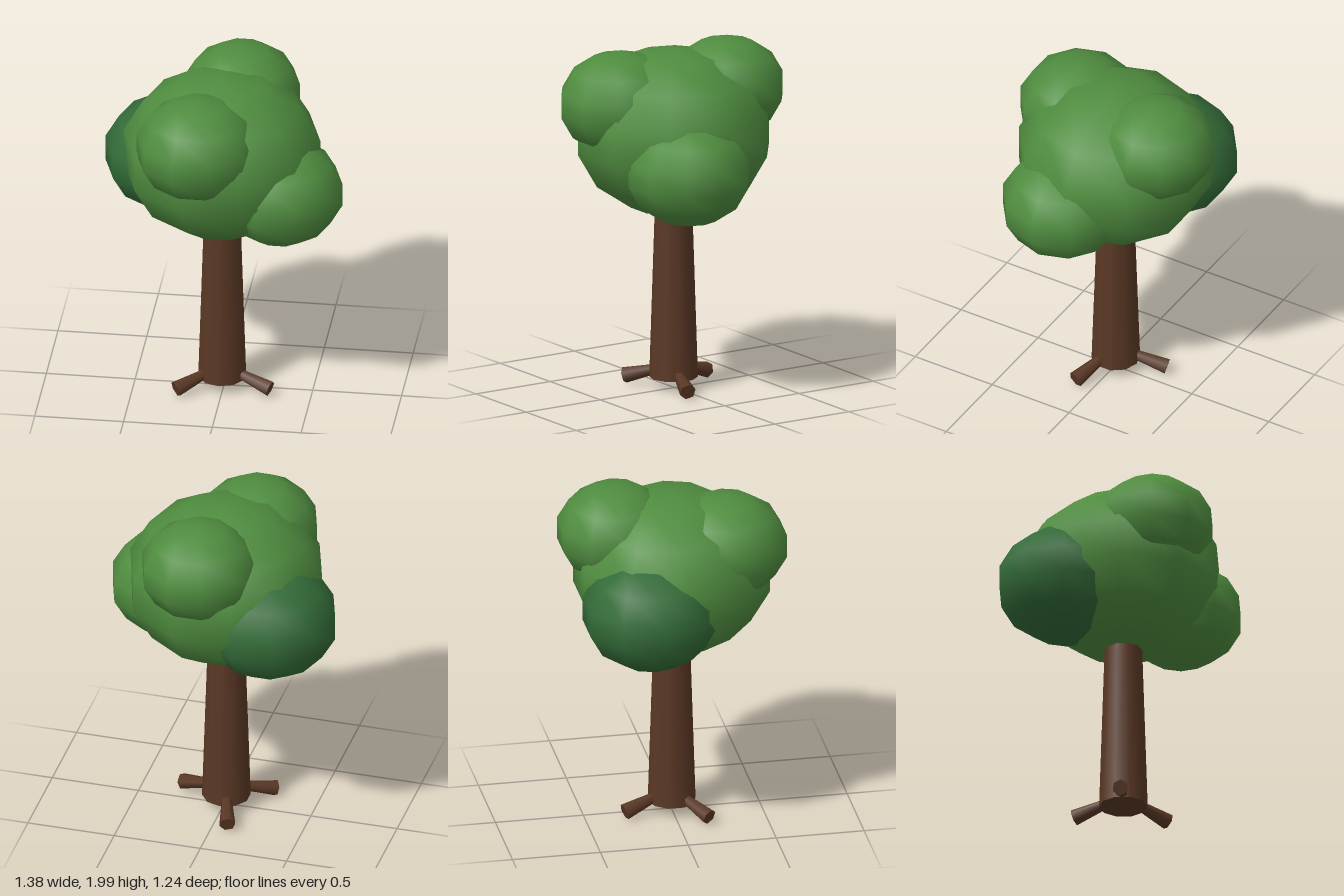
import * as THREE from 'three';

export function createModel() {
  const tree = new THREE.Group();
  tree.name = 'tree';

  const paint = (name, color) => {
    const m = new THREE.MeshStandardMaterial({ color });
    m.name = name;
    return m;
  };
  const bark = paint('bark brown', 0x5a3825);
  const leaf = paint('leaf green', 0x4f8c3f);
  const darkLeaf = paint('dark leaf green', 0x336b38);

  const add = (name, geometry, material) => {
    const mesh = new THREE.Mesh(geometry, material);
    mesh.name = name;
    tree.add(mesh);
    return mesh;
  };

  // Tapered trunk, running up into the crown
  add('trunk', new THREE.CylinderGeometry(0.1, 0.136, 1.13, 10), bark)
    .position.set(-0.01, 0.635, 0);

  // Stubby roots, thicker at the outer end and sloping down to the ground
  const up = new THREE.Vector3(0, 1, 0);
  const roots = [['leftRoot', 0.272, 0.095], ['rightRoot', -0.25, 0.168], ['backRoot', -0.095, -0.283]];
  for (const [name, x, z] of roots) {
    const end = new THREE.Vector3(x, 0.052, z);
    const out = new THREE.Vector3(x + 0.01, 0, z).normalize();
    const start = new THREE.Vector3(-0.01 + out.x * 0.08, 0.112, out.z * 0.08);
    const axis = end.clone().sub(start);
    const root = add(name, new THREE.CylinderGeometry(0.046, 0.026, axis.length(), 6), bark);
    root.position.copy(start).add(end).multiplyScalar(0.5);
    root.quaternion.setFromUnitVectors(up, axis.normalize());
  }

  // Crown of slightly flattened leaf clumps: name, centre, radius, material
  const clumps = [
    ['mainFoliage', [-0.01, 1.487, 0], 0.569, leaf],
    ['topBackFoliage', [0.06, 1.718, -0.307], 0.337, leaf],
    ['frontFoliage', [-0.11, 1.665, 0.291], 0.352, leaf],
    ['leftFoliage', [0.335, 1.335, 0.13], 0.359, leaf],
    ['rightFoliage', [-0.306, 1.375, -0.175], 0.394, darkLeaf],
  ];
  for (const [name, centre, radius, material] of clumps) {
    const clump = add(name, new THREE.SphereGeometry(radius, 10, 7), material);
    clump.scale.y = 0.836;
    clump.position.set(...centre);
  }

  return tree;
}
